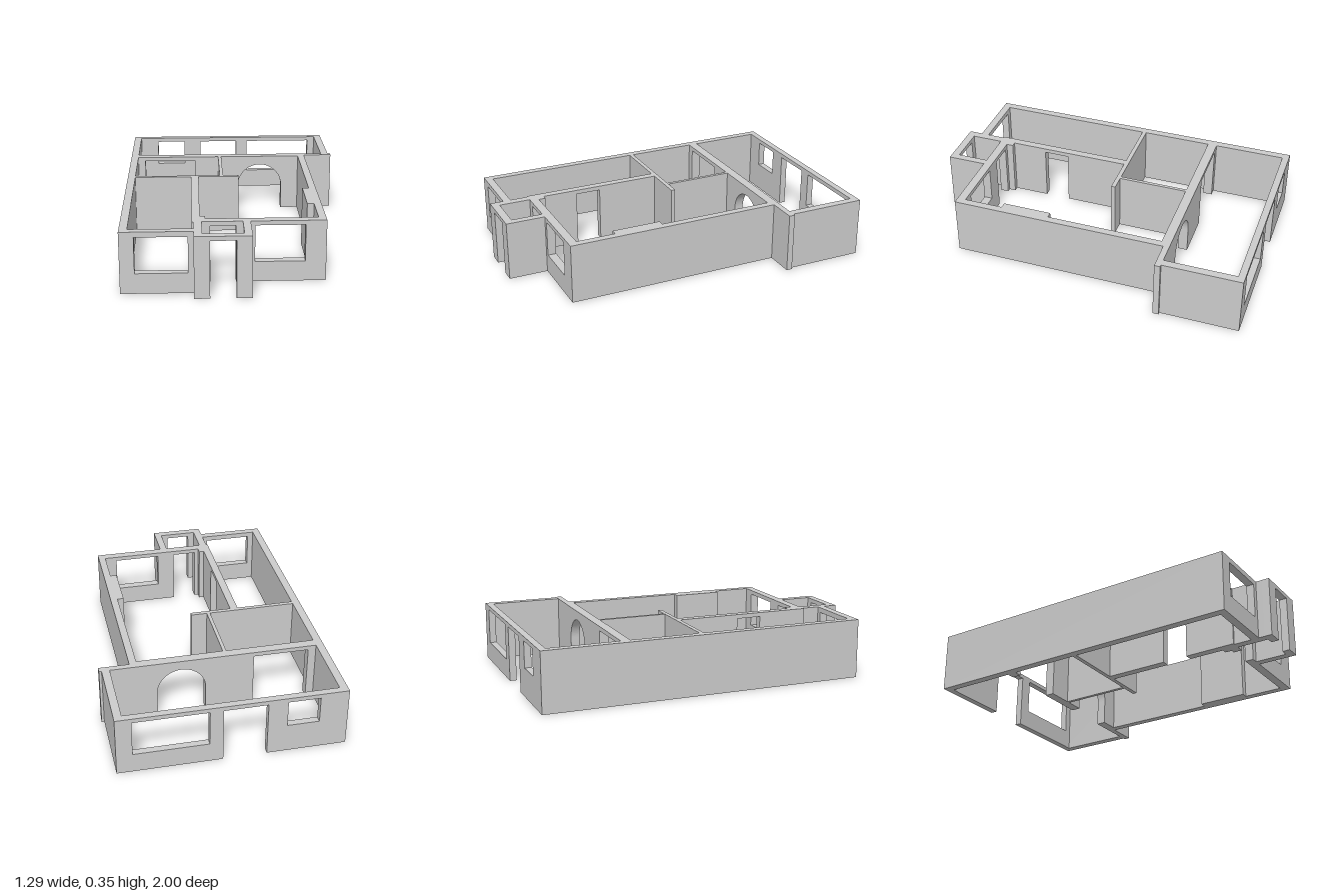
import * as THREE from 'three';

const H = 0.35;
const HEAD = 0.325; // top of doors and windows
const SILL = 0.115;

// Openings: { from, to, kind: 'door' | 'window' | 'arch', sill, head }
// Doors and arches notch the bottom edge; windows are holes.
function wallShape(a, b, openings) {
  const shape = new THREE.Shape();
  shape.moveTo(a, 0);
  const notches = openings.filter((o) => o.kind !== 'window').sort((p, q) => p.from - q.from);
  for (const { from, to, kind, head = HEAD } of notches) {
    shape.lineTo(from, 0);
    if (kind === 'arch') {
      const r = (to - from) / 2;
      shape.lineTo(from, head - r);
      shape.absarc(from + r, head - r, r, Math.PI, 0, true);
    } else {
      shape.lineTo(from, head);
      shape.lineTo(to, head);
    }
    shape.lineTo(to, 0);
  }
  shape.lineTo(b, 0);
  shape.lineTo(b, H);
  shape.lineTo(a, H);
  shape.closePath();
  for (const { from, to, kind, sill = SILL, head = HEAD } of openings) {
    if (kind !== 'window') continue;
    const hole = new THREE.Path();
    hole.moveTo(from, sill);
    hole.lineTo(from, head);
    hole.lineTo(to, head);
    hole.lineTo(to, sill);
    hole.closePath();
    shape.holes.push(hole);
  }
  return shape;
}

export function createModel() {
  const group = new THREE.Group();
  const material = new THREE.MeshStandardMaterial({ color: 0xcccccc, flatShading: true });

  const addWall = (name, a, b, depth, openings) => {
    const geometry = new THREE.ExtrudeGeometry(wallShape(a, b, openings), {
      depth, bevelEnabled: false, curveSegments: 24,
    });
    const mesh = new THREE.Mesh(geometry, material);
    mesh.name = name;
    group.add(mesh);
    return mesh;
  };
  // Wall running along x
  const wallX = (name, x0, x1, z0, z1, openings = []) => {
    addWall(name, x0, x1, z1 - z0, openings).position.z = z0;
  };
  // Wall running along z
  const wallZ = (name, x0, x1, z0, z1, openings = []) => {
    const mesh = addWall(name, z0, z1, x1 - x0, openings);
    mesh.rotation.y = -Math.PI / 2;
    mesh.position.x = x1;
  };

  // Back room
  wallX('backWall', -0.605, 0.585, -1, -0.96, [
    { kind: 'window', from: -0.49, to: -0.31, sill: 0.17 },
    { kind: 'door', from: -0.2, to: 0.045 },
    { kind: 'window', from: 0.12, to: 0.54 },
  ]);
  wallZ('backRoomLeftWall', 0.585, 0.63, -1, -0.54);
  wallX('crossWall', -0.605, 0.47, -0.54, -0.485, [
    { kind: 'door', from: -0.56, to: -0.24 },
    { kind: 'arch', from: 0.04, to: 0.32, head: 0.295 },
  ]);
  wallX('crossWallStub', 0.47, 0.645, -0.54, -0.505);

  // Long outer walls
  wallZ('rightOuterWall', -0.65, -0.605, -1, 0.92);
  wallZ('leftOuterWall', 0.428, 0.47, -0.485, 0.72);
  wallZ('chimneyBreast', 0.39, 0.428, 0.2, 0.49);

  // Inner partitions
  wallX('middlePartition', -0.605, 0.025, -0.075, -0.05);
  wallZ('smallRoomPartition', -0.09, -0.07, -0.485, -0.075);
  wallZ('hallPartition', -0.265, -0.22, -0.05, 0.77, [
    { kind: 'door', from: 0.32, to: 0.47 },
  ]);
  wallZ('entryPier', -0.22, -0.19, 0.68, 0.72);

  // Front walls
  wallX('frontRightWall', -0.605, -0.255, 0.875, 0.92, [
    { kind: 'window', from: -0.57, to: -0.285, head: 0.32 },
  ]);
  wallX('frontLeftWall', -0.22, 0.47, 0.72, 0.77, [
    { kind: 'door', from: -0.165, to: -0.025 },
    { kind: 'window', from: 0.08, to: 0.355 },
  ]);

  // Porch
  wallZ('porchRightWall', -0.255, -0.21, 0.77, 0.955);
  wallZ('porchLeftWall', 0.013, 0.055, 0.77, 0.955);
  wallX('porchFrontWall', -0.255, 0.055, 0.955, 1, [
    { kind: 'door', from: -0.17, to: -0.03 },
  ]);

  return group;
}
